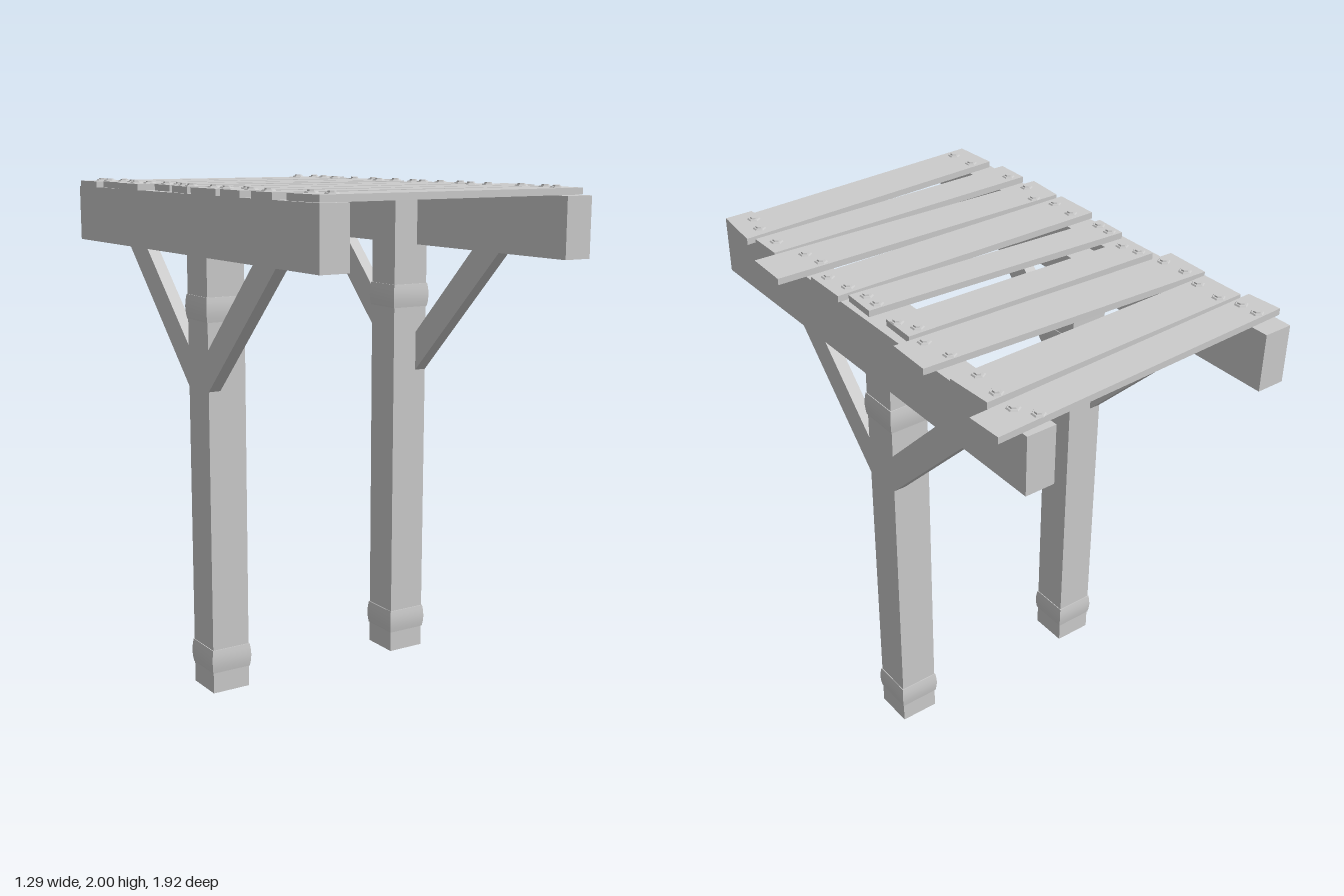
import * as THREE from 'three';
import { toCreasedNormals } from 'three/addons/utils/BufferGeometryUtils.js';

const material = new THREE.MeshStandardMaterial({ color: 0xcccccc });
const openMaterial = new THREE.MeshStandardMaterial({ color: 0xcccccc, side: THREE.DoubleSide });
const POST_Z = -0.01;
const PLANK_BOTTOM = 1.965, PLANK_TOP = 1.99;

// Each plank: corners [x, z] around the outline (left back, left front,
// right front, right back) and the bolt positions [x, z].
const planks = [
  { corners: [[-0.645, -0.885], [-0.635, -0.745], [0.63, -0.8], [0.625, -0.94]],
    bolts: [[-0.557, -0.86], [-0.557, -0.785], [0.446, -0.91], [0.489, -0.838]] },
  { corners: [[-0.61, -0.73], [-0.61, -0.55], [0.545, -0.58], [0.535, -0.765]],
    bolts: [[-0.53, -0.7], [-0.542, -0.584], [0.476, -0.735], [0.458, -0.614]] },
  { corners: [[-0.63, -0.53], [-0.635, -0.345], [0.575, -0.3], [0.58, -0.48]],
    bolts: [[-0.573, -0.485], [-0.565, -0.381], [0.458, -0.457], [0.478, -0.34]] },
  { corners: [[-0.58, -0.305], [-0.585, -0.165], [0.495, -0.135], [0.5, -0.28]],
    bolts: [[-0.545, -0.266], [-0.527, -0.193], [0.44, -0.244], [0.476, -0.173]] },
  { corners: [[-0.605, -0.105], [-0.61, 0.03], [0.505, 0.09], [0.51, -0.05]],
    bolts: [[-0.57, -0.071], [-0.573, -0.005], [0.458, -0.02], [0.456, 0.048]] },
  { corners: [[-0.63, 0.1], [-0.63, 0.29], [0.54, 0.29], [0.54, 0.105]],
    bolts: [[-0.557, 0.145], [-0.563, 0.251], [0.473, 0.145], [0.491, 0.251]] },
  { corners: [[-0.625, 0.315], [-0.635, 0.475], [0.64, 0.525], [0.645, 0.345]],
    bolts: [[-0.527, 0.34], [-0.57, 0.442], [0.448, 0.371], [0.463, 0.459]] },
  { corners: [[-0.625, 0.535], [-0.625, 0.675], [0.55, 0.68], [0.55, 0.535]],
    bolts: [[-0.578, 0.574], [0.496, 0.614]] },
  { corners: [[-0.61, 0.745], [-0.6, 0.93], [0.555, 0.885], [0.575, 0.7]],
    bolts: [[-0.535, 0.777], [-0.527, 0.888], [0.491, 0.754], [0.468, 0.84]] },
];

function add(parent, name, geometry, x = 0, y = 0, z = 0, mat = material) {
  const mesh = new THREE.Mesh(geometry, mat);
  mesh.name = name;
  mesh.position.set(x, y, z);
  parent.add(mesh);
  return mesh;
}

function extrude(points, depth) {
  const shape = new THREE.Shape(points.map(([x, y]) => new THREE.Vector2(x, y)));
  return new THREE.ExtrudeGeometry(shape, { depth, bevelEnabled: false });
}

// Square tube with a closed top and an open foot
function postGeometry(width, height) {
  const r = width * Math.SQRT1_2;
  const profile = [[r, 0], [r, height], [0, height]].map(([x, y]) => new THREE.Vector2(x, y));
  return toCreasedNormals(new THREE.LatheGeometry(profile, 4, Math.PI / 4), 0.5);
}

// Square collar whose sides bulge smoothly
function bandGeometry() {
  const profile = [[0.07, 0], [0.083, 0], [0.086, 0.02], [0.088, 0.0475],
    [0.086, 0.075], [0.083, 0.095], [0.07, 0.095]]
    .map(([half, y]) => new THREE.Vector2(half * Math.SQRT2, y));
  return toCreasedNormals(new THREE.LatheGeometry(profile, 4, Math.PI / 4), 1.1);
}

export function createModel() {
  const model = new THREE.Group();
  model.name = 'plankCanopy';

  // Posts, bands, beams and braces for each side
  const post = postGeometry(0.16, 1.925);
  const band = bandGeometry();
  const beam = new THREE.BoxGeometry(0.115, 0.225, 1.92);
  const sides = [
    { name: 'right', postX: -0.475, beamX: -0.5625, braceX: -0.505 },
    { name: 'left', postX: 0.385, beamX: 0.4725, braceX: 0.465 },
  ];
  for (const { name, postX, beamX, braceX } of sides) {
    const frame = new THREE.Group();
    frame.name = `${name}Frame`;
    model.add(frame);
    add(frame, 'post', post, postX, 0, POST_Z, openMaterial);
    add(frame, 'lowerBand', band, postX, 0.085, POST_Z);
    add(frame, 'upperBand', band, postX, 1.485, POST_Z);
    add(frame, 'beam', beam, beamX, 1.8525, 0);
    for (const s of [1, -1]) {
      const outline = [[0.08, 1.22], [0.6, 1.74], [0.44, 1.74], [0.08, 1.38]]
        .map(([z, y]) => [s * z, y]);
      const brace = extrude(outline, 0.05).rotateY(-Math.PI / 2);
      add(frame, s > 0 ? 'frontBrace' : 'backBrace', brace, braceX, 0, POST_Z);
    }
  }

  // Uneven roof planks, each fixed with hexagonal bolts
  const washer = new THREE.CylinderGeometry(0.022, 0.026, 0.005, 6).toNonIndexed();
  const head = new THREE.CylinderGeometry(0.014, 0.016, 0.006, 6).toNonIndexed();
  washer.computeVertexNormals();
  head.computeVertexNormals();
  const roof = new THREE.Group();
  roof.name = 'roof';
  model.add(roof);
  planks.forEach(({ corners, bolts }, i) => {
    const board = extrude(corners.map(([x, z]) => [x, -z]), PLANK_TOP - PLANK_BOTTOM);
    add(roof, `plank${i + 1}`, board.rotateX(-Math.PI / 2), 0, PLANK_BOTTOM, 0);
    for (const [x, z] of bolts) {
      const bolt = new THREE.Group();
      bolt.name = 'bolt';
      bolt.position.set(x, PLANK_TOP, z);
      add(bolt, 'washer', washer, 0, 0.0025, 0);
      add(bolt, 'boltHead', head, 0, 0.007, 0);
      roof.add(bolt);
    }
  });

  return model;
}
